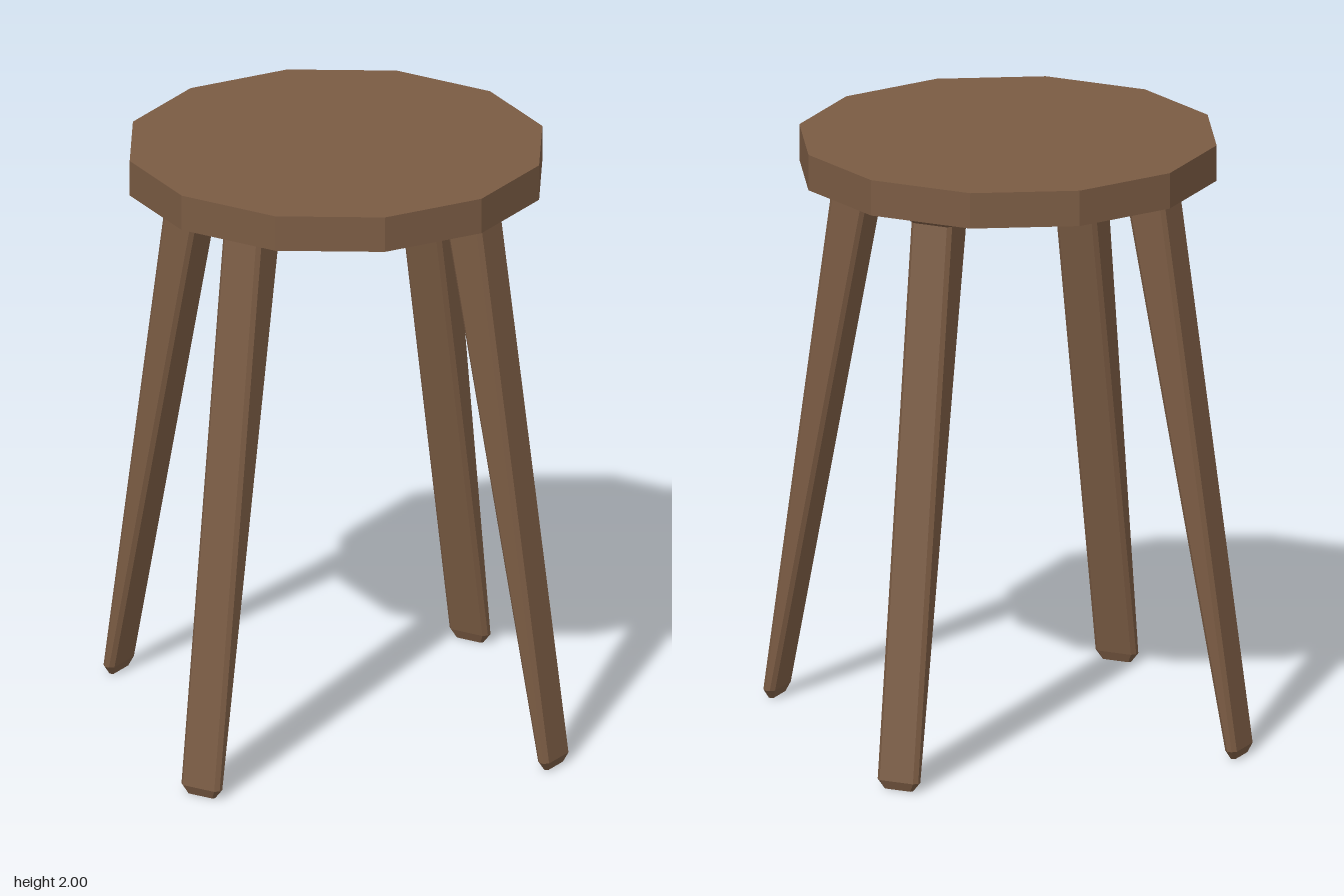
import * as THREE from 'three';

// Rectangle with cut corners, at height y and pushed outward by r
function ring({ y, r, w, h, c }) {
  const a = w - c, b = h - c;
  return [[-a, h], [a, h], [w, b], [w, -b], [a, -h], [-a, -h], [-w, -b], [-w, b]]
    .map(([x, z]) => [x, y, z + r]);
}

// Skin between rings listed from bottom to top, closed at both ends
function loft(rings) {
  const pos = [];
  const tri = (a, b, c) => pos.push(...a, ...b, ...c);
  const n = rings[0].length;
  for (let k = 0; k < rings.length - 1; k++) {
    const lo = rings[k], hi = rings[k + 1];
    for (let i = 0; i < n; i++) {
      const j = (i + 1) % n;
      tri(lo[i], lo[j], hi[j]);
      tri(lo[i], hi[j], hi[i]);
    }
  }
  const bottom = rings[0], top = rings[rings.length - 1];
  for (let i = 1; i < n - 1; i++) {
    tri(bottom[0], bottom[i + 1], bottom[i]);
    tri(top[0], top[i], top[i + 1]);
  }
  const geometry = new THREE.BufferGeometry();
  geometry.setAttribute('position', new THREE.Float32BufferAttribute(pos, 3));
  geometry.computeVertexNormals();
  return geometry;
}

export function createModel() {
  const model = new THREE.Group();
  model.name = 'stool';

  const wood = new THREE.MeshStandardMaterial({ color: 0x7a5b43, flatShading: true });
  wood.name = 'brownWood';

  // Twelve-sided seat slab
  const seat = new THREE.Mesh(new THREE.CylinderGeometry(0.69, 0.69, 0.12, 12), wood);
  seat.name = 'seat';
  seat.position.y = 1.94;
  model.add(seat);

  // Splayed leg: bevelled foot, tapering shaft, flared collar under the seat
  const legGeometry = loft([
    { y: 0, r: 0.831, w: 0.05, h: 0.009, c: 0.005 },
    { y: 0.03, r: 0.831, w: 0.073, h: 0.021, c: 0.013 },
    { y: 1.85, r: 0.525, w: 0.073, h: 0.068, c: 0.013 },
    { y: 1.882, r: 0.525, w: 0.106, h: 0.101, c: 0.015 },
  ].map(ring));

  ['frontLeg', 'leftLeg', 'backLeg', 'rightLeg'].forEach((name, i) => {
    const leg = new THREE.Mesh(legGeometry, wood);
    leg.name = name;
    leg.rotation.y = Math.PI / 12 + i * Math.PI / 2;
    model.add(leg);
  });

  return model;
}
